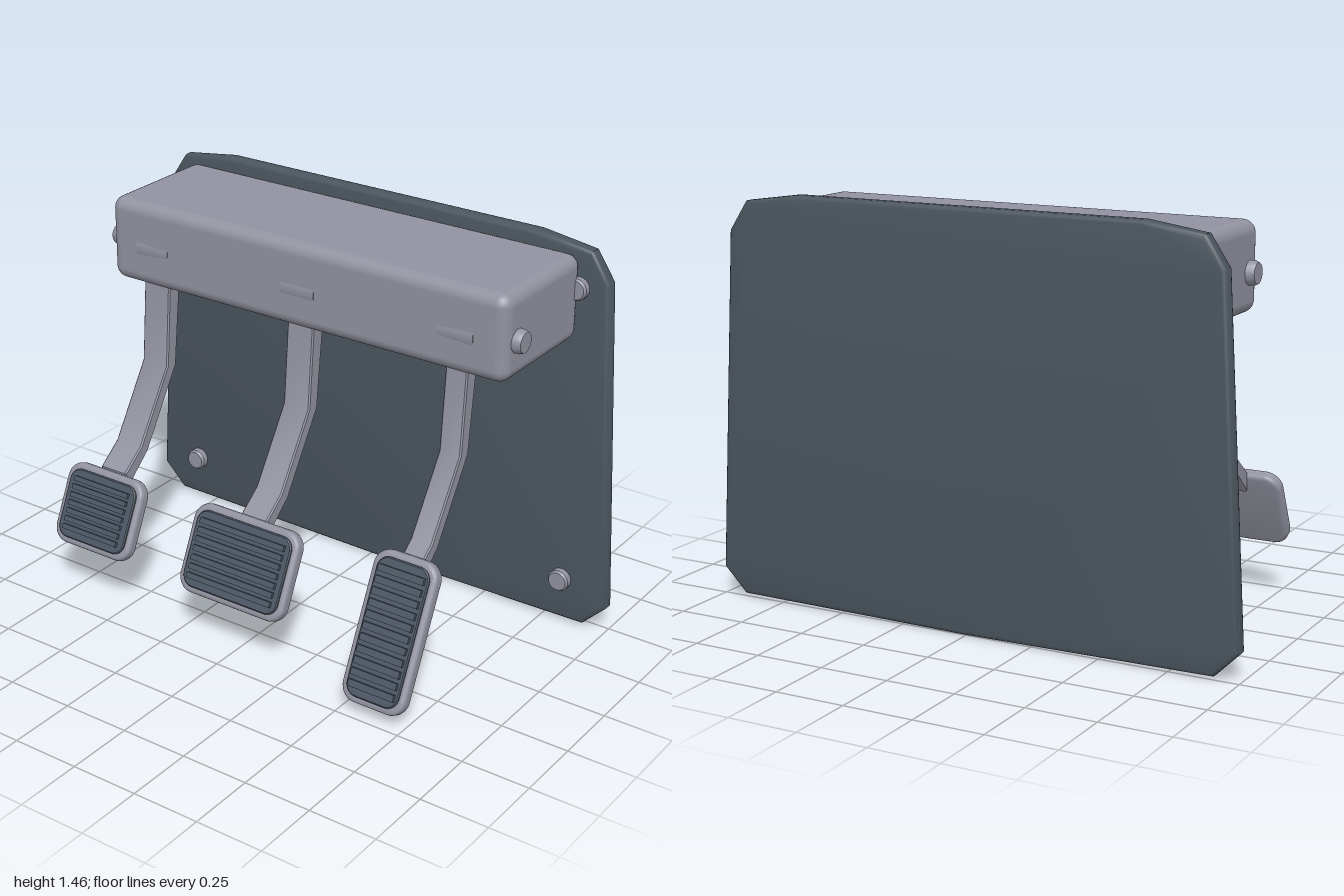
import * as THREE from 'three';
import { toCreasedNormals } from 'three/addons/utils/BufferGeometryUtils.js';
import { RoundedBoxGeometry } from 'three/addons/geometries/RoundedBoxGeometry.js';

const material = (name, color) => {
  const m = new THREE.MeshStandardMaterial({ color });
  m.name = name;
  return m;
};

// Extrusion centred on its depth, with a bevel that stays inside the outline
function slab(shape, depth, bevel, segments = 3) {
  const g = new THREE.ExtrudeGeometry(shape, {
    depth: depth - 2 * bevel, bevelThickness: bevel, bevelSize: bevel,
    bevelOffset: -bevel, bevelSegments: segments, curveSegments: 6,
  });
  g.translate(0, 0, -depth / 2 + bevel);
  return toCreasedNormals(g, 0.6);
}

function roundedRect(w, h, r) {
  const s = new THREE.Shape(), x = w / 2 - r, y = h / 2 - r;
  s.absarc(x, y, r, 0, Math.PI / 2);
  s.absarc(-x, y, r, Math.PI / 2, Math.PI);
  s.absarc(-x, -y, r, Math.PI, Math.PI * 1.5);
  s.absarc(x, -y, r, Math.PI * 1.5, Math.PI * 2);
  s.closePath();
  return s;
}

const polygon = (pts) => new THREE.Shape(pts.map(([x, y]) => new THREE.Vector2(x, y)));

export function createModel() {
  const model = new THREE.Group();
  model.name = 'pedalBox';
  const plateMat = material('darkSlatePlate', 0x4b555e);
  const metalMat = material('greyMetal', 0x9292a0);
  const rubberMat = material('darkRubber', 0x4b5663);

  const add = (parent, name, geometry, mat, x = 0, y = 0, z = 0) => {
    const mesh = new THREE.Mesh(geometry, mat);
    mesh.name = name;
    mesh.position.set(x, y, z);
    parent.add(mesh);
    return mesh;
  };

  // Firewall plate, tapering upward with clipped corners
  const half = [[0.91, 0.01], [1, 0.1], [0.93, 1.32], [0.86, 1.425], [0.65, 1.455]];
  const outline = [[0, 0], ...half, ...half.map(([x, y]) => [-x, y]).reverse()];
  add(model, 'backPlate', slab(polygon(outline), 0.055, 0.016), plateMat, 0, 0, -0.4825);

  // Housing that carries the pivots
  add(model, 'housing', new RoundedBoxGeometry(1.64, 0.31, 0.492, 4, 0.045), metalMat, 0, 1.255, -0.224);

  // Domed bolt heads, built along +y
  const boltHead = (r, h) => toCreasedNormals(new THREE.LatheGeometry(
    [[r, 0], [r, h * 0.75], [r * 0.85, h], [0, h]].map(([x, y]) => new THREE.Vector2(x, y)), 20), 0.6);
  const plateBolt = boltHead(0.04, 0.034).rotateX(Math.PI / 2);
  for (const side of [-1, 1]) {
    for (const y of [0.17, 1.29]) add(model, 'plateBolt', plateBolt, metalMat, side * 0.82, y, -0.458);
    const end = boltHead(0.042, 0.06).rotateZ(-side * Math.PI / 2);
    add(model, 'pivotBolt', end, metalMat, side * 0.79, 1.24, -0.055);
  }

  // Bent arm side profile, as z and y pairs
  const armProfile = polygon([
    [-0.003, 1.15], [-0.064, 1.15], [-0.025, 0.8], [0.15, 0.52], [0.282, 0.405],
    [0.28, 0.478], [0.188, 0.55], [0.025, 0.81],
  ]);

  // One pedal: pivot sleeve, arm and tilted pad with a ribbed rubber cover
  function pedal({ name, x, arm, w, h, padY, padZ, ribs, ribW }) {
    const group = new THREE.Group();
    group.name = name;
    group.position.x = x;
    model.add(group);

    const lean = 0.001 * Math.sign(x);
    const sleeve = new THREE.CylinderGeometry(0.0745 - lean, 0.0745 + lean, 0.14, 48).rotateZ(Math.PI / 2);
    add(group, 'pivotSleeve', sleeve, metalMat, 0, 1.24, -0.05);

    add(group, 'arm', slab(armProfile, arm, 0.005, 1).rotateY(-Math.PI / 2), metalMat);

    const pad = new THREE.Group();
    pad.name = 'pad';
    pad.position.set(0, padY, padZ);
    pad.rotation.x = -THREE.MathUtils.degToRad(25);
    group.add(pad);
    add(pad, 'padBase', slab(roundedRect(w, h, 0.06), 0.046, 0.014), metalMat);
    add(pad, 'rubberCover', slab(roundedRect(w - 0.045, h - 0.045, 0.045), 0.02, 0.004, 1), rubberMat, 0, 0, 0.022);

    const pitch = (h - 0.09) / ribs;
    const rib = new THREE.BoxGeometry(ribW, pitch * 0.6, 0.014);
    for (let i = 0; i < ribs; i++) {
      add(pad, 'gripRib', rib, rubberMat, 0, (i - (ribs - 1) / 2) * pitch, 0.037);
    }
  }

  pedal({ name: 'rightPedal_clutch', x: -0.632, arm: 0.115, w: 0.35, h: 0.3, padY: 0.34, padZ: 0.353, ribs: 7, ribW: 0.25 });
  pedal({ name: 'centrePedal_brake', x: 0, arm: 0.11, w: 0.45, h: 0.322, padY: 0.34, padZ: 0.353, ribs: 7, ribW: 0.36 });
  pedal({ name: 'leftPedal_accelerator', x: 0.628, arm: 0.085, w: 0.25, h: 0.53, padY: 0.283, padZ: 0.357, ribs: 11, ribW: 0.18 });

  return model;
}
